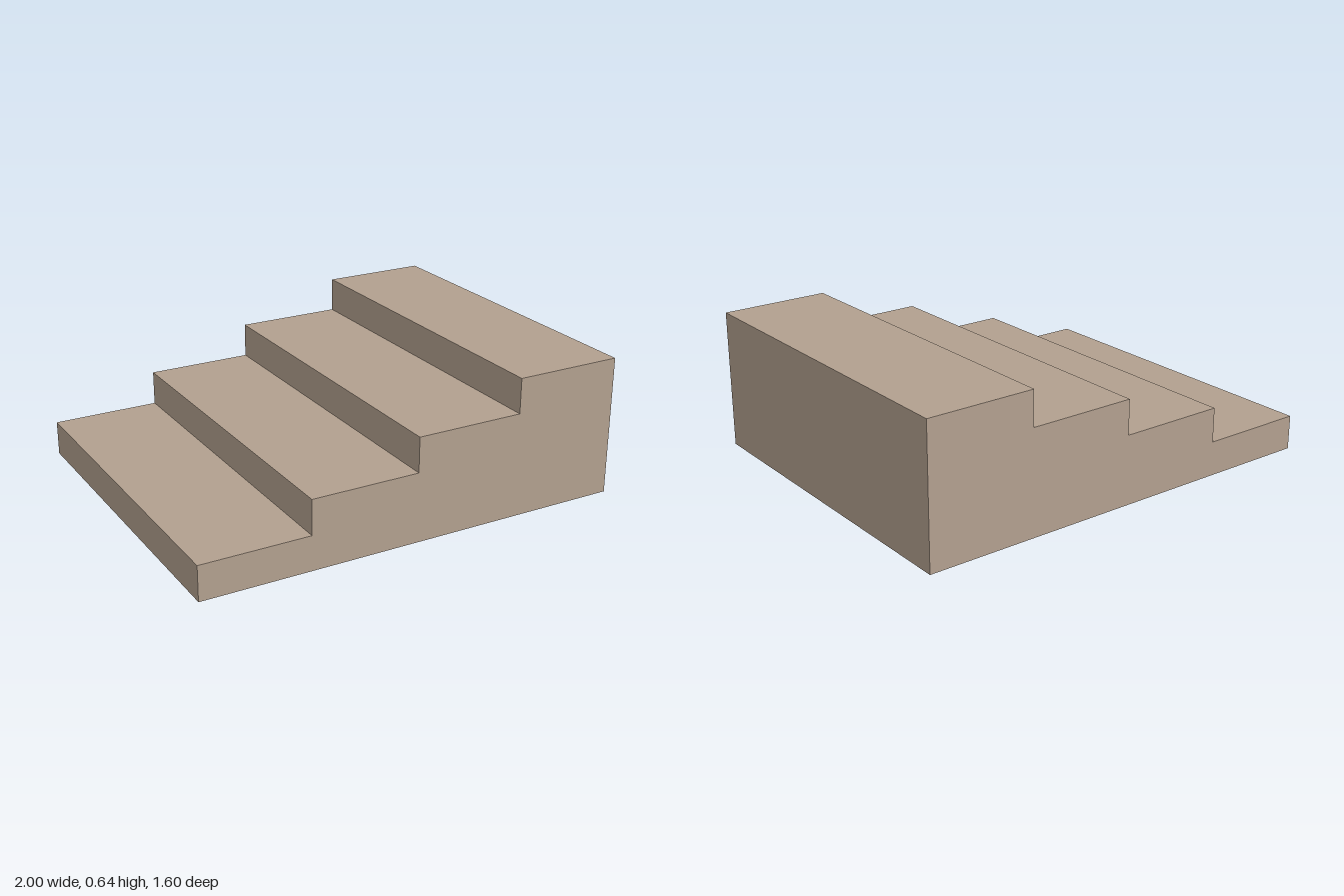
import * as THREE from 'three';

const STEPS = 4;
const TREAD = 0.5;
const RISE = 0.16;
const WIDTH = 1.6;

export function createModel() {
  const group = new THREE.Group();
  group.name = 'staircase';

  const stone = new THREE.MeshStandardMaterial({ color: 0xb2a08f });
  stone.name = 'warm stone';

  // Stepped side profile, rising towards +x
  const left = -(STEPS * TREAD) / 2;
  const profile = new THREE.Shape();
  profile.moveTo(left, 0);
  profile.lineTo(-left, 0);
  for (let i = STEPS; i > 0; i--) {
    profile.lineTo(left + i * TREAD, i * RISE);
    profile.lineTo(left + (i - 1) * TREAD, i * RISE);
  }
  profile.closePath();

  // Solid flight of steps, centred in depth
  const geometry = new THREE.ExtrudeGeometry(profile, { depth: WIDTH, bevelEnabled: false });
  geometry.translate(0, 0, -WIDTH / 2);
  const steps = new THREE.Mesh(geometry, stone);
  steps.name = 'steps';
  group.add(steps);

  return group;
}
